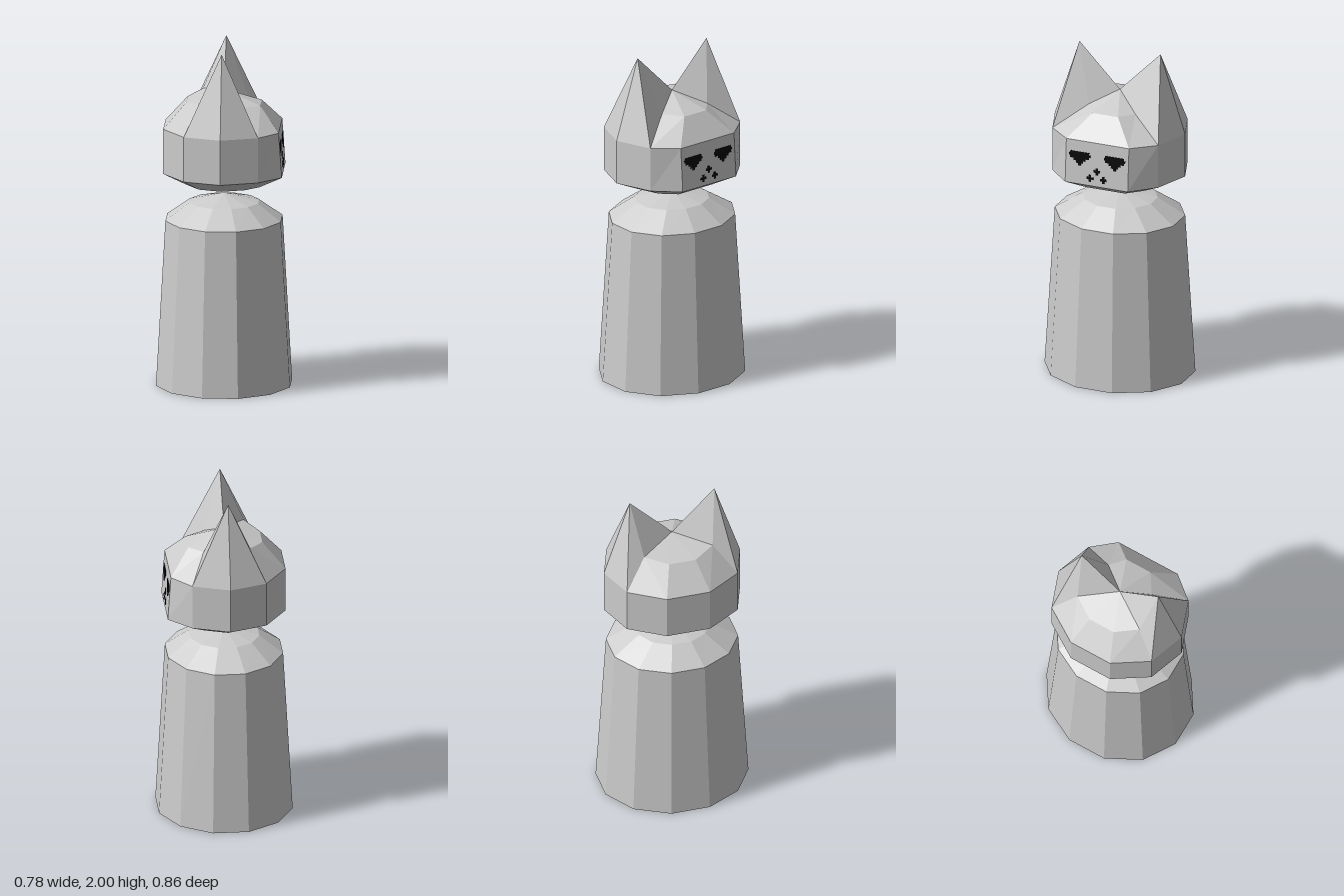
import * as THREE from 'three';

const grey = new THREE.MeshStandardMaterial({ color: 0xcccccc });
grey.name = 'stoneGrey';
const black = new THREE.MeshStandardMaterial({ color: 0x050505 });
black.name = 'paintBlack';

// Faceted skin over rings of [x, y, z] points, closed by a point below and above
function loft(bottomY, rings, topY) {
  const pos = [];
  const tri = (...pts) => pts.forEach((p) => pos.push(...p));
  const n = rings[0].length;
  const low = [0, bottomY, 0], high = [0, topY, 0];
  const first = rings[0], last = rings[rings.length - 1];
  for (let i = 0; i < n; i++) {
    const j = (i + 1) % n;
    tri(low, first[i], first[j]);
    for (let k = 0; k < rings.length - 1; k++) {
      const a = rings[k], b = rings[k + 1];
      // split each quad along the diagonal from its higher top corner
      if (b[j][1] > b[i][1]) { tri(a[i], b[i], b[j]); tri(a[i], b[j], a[j]); }
      else { tri(a[i], b[i], a[j]); tri(b[i], b[j], a[j]); }
    }
    tri(last[i], high, last[j]);
  }
  const geo = new THREE.BufferGeometry();
  geo.setAttribute('position', new THREE.Float32BufferAttribute(pos, 3));
  geo.computeVertexNormals();
  return geo;
}

// Twelve-sided oval ring, given its half widths across the flats
function ovalRing(hx, hz, y) {
  const c = Math.cos(Math.PI / 12);
  return Array.from({ length: 12 }, (_, i) => {
    const a = (i + 0.5) * Math.PI / 6;
    return [hx / c * Math.cos(a), y, hz / c * Math.sin(a)];
  });
}

// Ten-sided head ring: five points on the +z side, mirrored to the -z side
const mirrorRing = (half) => [...half, ...[...half].reverse().map(([x, y, z]) => [x, y, -z])];
const headRing = (y, faceX, s = 1) => mirrorRing(
  [[faceX, 0.197], [0.215, 0.333], [0, 0.41], [-0.215, 0.333], [-0.345, 0.13]]
    .map(([x, z]) => [x * s, y, z * s]));

export function createModel() {
  const model = new THREE.Group();
  model.name = 'catFigure';
  const add = (parent, name, geo, mat) => {
    const mesh = new THREE.Mesh(geo, mat);
    mesh.name = name;
    parent.add(mesh);
    return mesh;
  };

  // Tapered body with a low domed top
  add(model, 'body', loft(0, [
    ovalRing(0.388, 0.43, 0), ovalRing(0.334, 0.372, 0.975), ovalRing(0.2, 0.215, 1.075),
  ], 1.125), grey);

  // Head whose crown ring is pulled up into two pointed ears
  const crown = mirrorRing([
    [0.215, 1.66, 0.08], [0.1, 1.66, 0.154], [0, 2, 0.255], [-0.133, 1.695, 0.206], [-0.215, 1.675, 0.08],
  ]);
  crown[8][0] = 0.133;
  add(model, 'head', loft(1.17, [
    headRing(1.187, 0.345, 0.62), headRing(1.26, 0.345), headRing(1.525, 0.327), crown,
  ], 1.74), grey);

  // Painted face, on the sloping flat side of the head
  const face = new THREE.Group();
  face.name = 'face';
  face.position.set(0.345, 1.26, 0);
  face.rotation.z = Math.atan2(0.018, 0.265);
  model.add(face);
  const cell = 0.0141;
  const strip = (parent, name, y, z, width) => {
    const m = add(parent, name, new THREE.BoxGeometry(0.004, cell, width * cell), black);
    m.position.set(0.0005, y, z);
  };
  // Eyes: stacked strips narrowing downwards
  for (const side of [1, -1]) {
    const eye = new THREE.Group();
    eye.name = side > 0 ? 'eyePlusZ' : 'eyeMinusZ';
    face.add(eye);
    [8.4, 9.4, 8.4, 5.4, 3.2, 1.2].forEach((w, r) =>
      strip(eye, 'eyeStrip', 0.191 - r * cell, side * 0.11, w));
  }
  // Nose and two mouth spots: small plus shapes
  for (const [name, y, z] of [['nose', 0.092, 0], ['mouthSpot', 0.046, 0.042], ['mouthSpot', 0.046, -0.042]]) {
    const spot = new THREE.Group();
    spot.name = name;
    face.add(spot);
    [1, 3, 1].forEach((w, r) => strip(spot, 'spotStrip', y + (1 - r) * cell, z, w));
  }
  return model;
}
